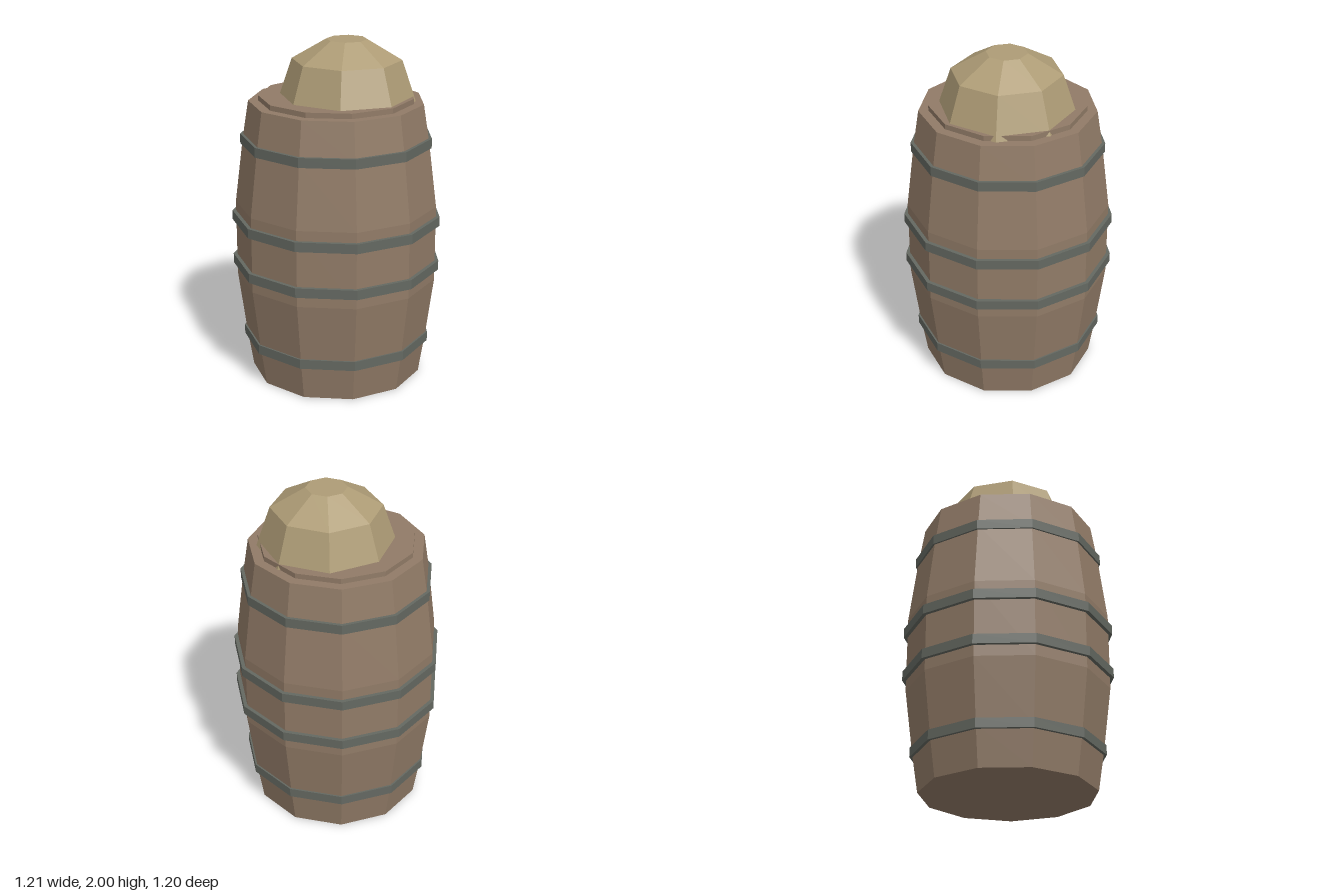
import * as THREE from 'three';

const SIDES = 11;
const AXIS_Z = 0.0125; // an odd-sided prism is centred by its extents

function makeMaterial(name, color) {
  const m = new THREE.MeshStandardMaterial({ color, flatShading: true });
  m.name = name;
  return m;
}

// Faceted solid of revolution from [radius, height] pairs, listed bottom to top on the outside
function turned(name, profile, sides, start, material) {
  const points = profile.map(([r, y]) => new THREE.Vector2(r, y));
  const geometry = new THREE.LatheGeometry(points, sides, start).toNonIndexed();
  geometry.computeVertexNormals();
  const mesh = new THREE.Mesh(geometry, material);
  mesh.name = name;
  return mesh;
}

export function createModel() {
  const wood = makeMaterial('brown wood', 0x917b67);
  const iron = makeMaterial('grey iron', 0x646861);
  const sack = makeMaterial('tan filling', 0xae9c76);

  const model = new THREE.Group();
  model.name = 'barrel';

  const barrel = new THREE.Group();
  barrel.name = 'barrelBody';
  barrel.position.z = AXIS_Z;
  model.add(barrel);

  // Bulging staves with closed ends
  barrel.add(turned('staves', [
    [0, 0], [0.505, 0], [0.541, 0.23], [0.589, 0.6],
    [0.589, 1.05], [0.541, 1.425], [0.505, 1.65], [0, 1.65],
  ], SIDES, Math.PI, wood));

  // Raised lid
  barrel.add(turned('lid', [
    [0.448, 1.64], [0.448, 1.68], [0, 1.68],
  ], SIDES, Math.PI, wood));

  // Four iron hoops: [height, outer radius]
  for (const [y, r] of [[0.232, 0.555], [0.692, 0.611], [0.963, 0.611], [1.427, 0.555]]) {
    const h = 0.028, inner = r - 0.05;
    barrel.add(turned('hoop', [
      [r, y - h], [r, y + h], [inner, y + h], [inner, y - h], [r, y - h],
    ], SIDES, Math.PI, iron));
  }

  // Off-centre faceted mound on top
  const mound = turned('mound', [
    [0, 1.64], [0.397, 1.64], [0.314, 1.885], [0.117, 2], [0, 2],
  ], 8, 0, sack);
  mound.position.set(0.0575, 0, 0.01);
  model.add(mound);

  return model;
}
